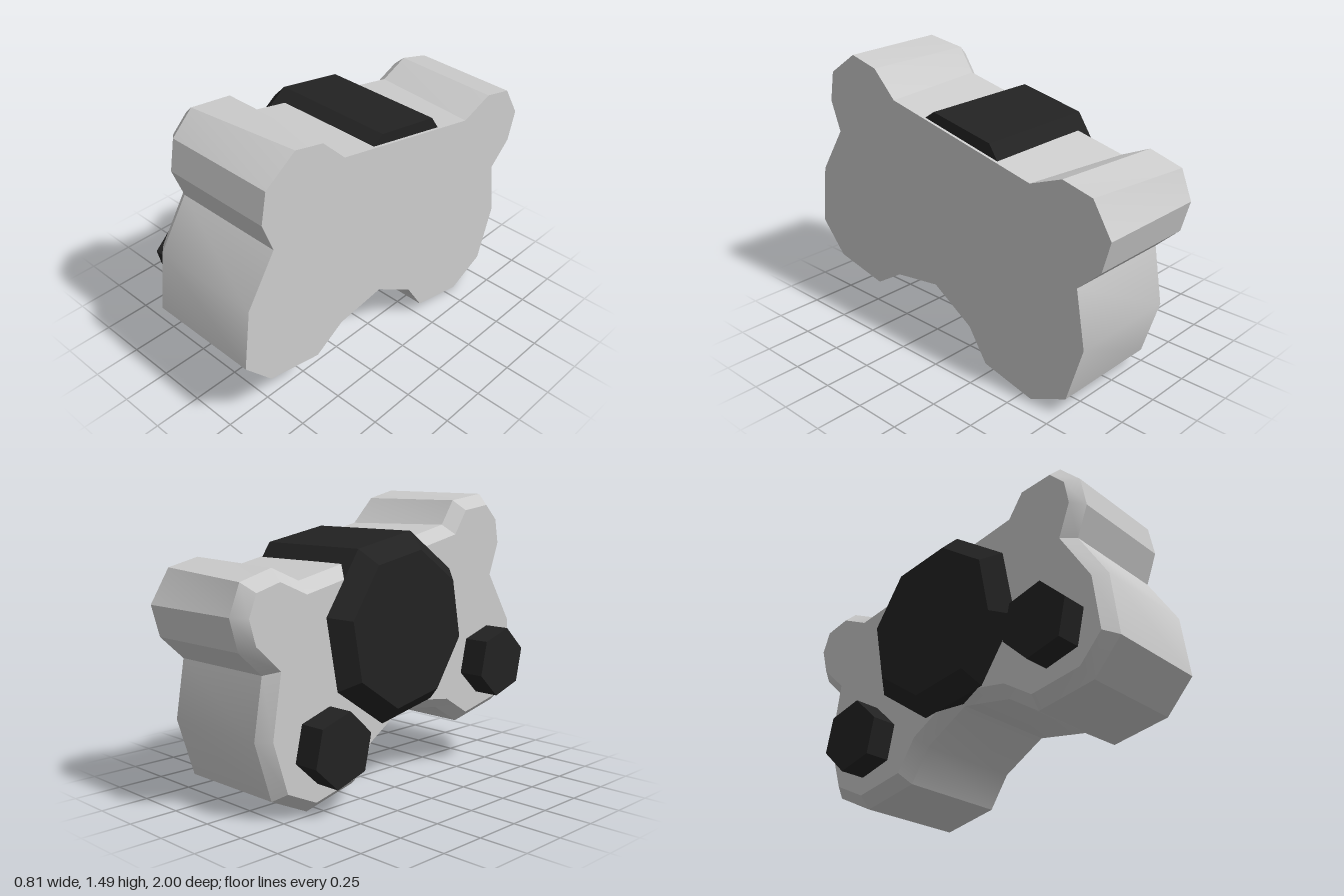
import * as THREE from 'three';
import { toCreasedNormals } from 'three/addons/utils/BufferGeometryUtils.js';

const grey = new THREE.MeshStandardMaterial({ color: 0xcccccc });
const black = new THREE.MeshStandardMaterial({ color: 0x222222 });

// Solid through cross-sections { x, ring: [[z, y], ...] }, ordered from -x to +x
function loft(sections) {
  const pos = [];
  const put = (s, i) => pos.push(s.x, s.ring[i][1], s.ring[i][0]);
  const n = sections[0].ring.length;
  for (let k = 0; k < sections.length - 1; k++) {
    const l = sections[k], h = sections[k + 1];
    for (let i = 0; i < n; i++) {
      const j = (i + 1) % n;
      put(l, j); put(l, i); put(h, i);
      put(l, j); put(h, i); put(h, j);
    }
  }
  // End caps
  const cap = (s, flip) => {
    const pts = s.ring.map(([z, y]) => new THREE.Vector2(z, y));
    for (const [a, b, c] of THREE.ShapeUtils.triangulateShape(pts, []))
      (flip ? [c, b, a] : [a, b, c]).forEach((i) => put(s, i));
  };
  cap(sections[0], false);
  cap(sections[sections.length - 1], true);
  const geo = new THREE.BufferGeometry();
  geo.setAttribute('position', new THREE.Float32BufferAttribute(pos, 3));
  return toCreasedNormals(geo, 0.5);
}

// Mitred inset of a counter-clockwise ring
function inset(ring, d) {
  const n = ring.length;
  const normal = (a, b) => new THREE.Vector2(a[1] - b[1], b[0] - a[0]).normalize();
  return ring.map((p, i) => {
    const n1 = normal(ring[(i + n - 1) % n], p);
    const n2 = normal(p, ring[(i + 1) % n]);
    const k = d / (1 + n1.dot(n2));
    return [p[0] + (n1.x + n2.x) * k, p[1] + (n1.y + n2.y) * k];
  });
}

// Regular polygon ring with its first corner at a given angle
function polygon(z, y, r, sides, degrees) {
  return Array.from({ length: sides }, (_, i) => {
    const a = THREE.MathUtils.degToRad(degrees) + (i / sides) * Math.PI * 2;
    return [z + r * Math.cos(a), y + r * Math.sin(a)];
  });
}

export function createModel() {
  const group = new THREE.Group();
  const add = (name, sections, material) => {
    const mesh = new THREE.Mesh(loft(sections), material);
    mesh.name = name;
    group.add(mesh);
  };

  // Housing outline on the flat inner side
  const inner = [
    [1, 0.48], [0.96, 0.8], [0.8, 1.05], [0.86, 1.21], [0.83, 1.37],
    [0.655, 1.49], [0.49, 1.45], [0.355, 1.315], [-0.54, 1.12], [-0.725, 1.19],
    [-0.895, 1.15], [-1, 0.98], [-0.955, 0.82], [-0.825, 0.7], [-0.875, 0.4],
    [-0.78, 0.1], [-0.565, 0], [-0.26, 0.07], [-0.15, 0.24], [0.09, 0.39],
    [0.37, 0.35], [0.54, 0.245], [0.85, 0.31],
  ];
  // The top corners drift slightly towards the bevelled side
  const outer = inner.map((p) => [...p]);
  const drift = { 5: [0.715, 1.48], 7: [0.405, 1.325], 8: [-0.6, 1.11], 9: [-0.76, 1.18], 10: [-0.94, 1.13] };
  for (const i in drift) outer[i] = drift[i];
  add('housing', [
    { x: -0.265, ring: inset(outer, 0.055) },
    { x: -0.2, ring: outer },
    { x: 0.4, ring: inner },
  ], grey);

  // Octagonal piston running through the housing, bevelled at its outer end
  add('piston', [
    { x: -0.355, ring: polygon(-0.013, 0.835, 0.395, 8, 78.3) },
    { x: -0.265, ring: polygon(-0.013, 0.835, 0.485, 8, 78.3) },
    { x: 0.385, ring: polygon(-0.013, 0.835, 0.485, 8, 78.3) },
  ], black);

  // Hexagonal mounting bolts
  for (const [name, z, y] of [['frontBolt', 0.68, 0.583], ['rearBolt', -0.51, 0.33]]) {
    const ring = polygon(z, y, 0.185, 6, 77);
    add(name, [{ x: -0.405, ring }, { x: -0.2, ring }], black);
  }
  return group;
}
